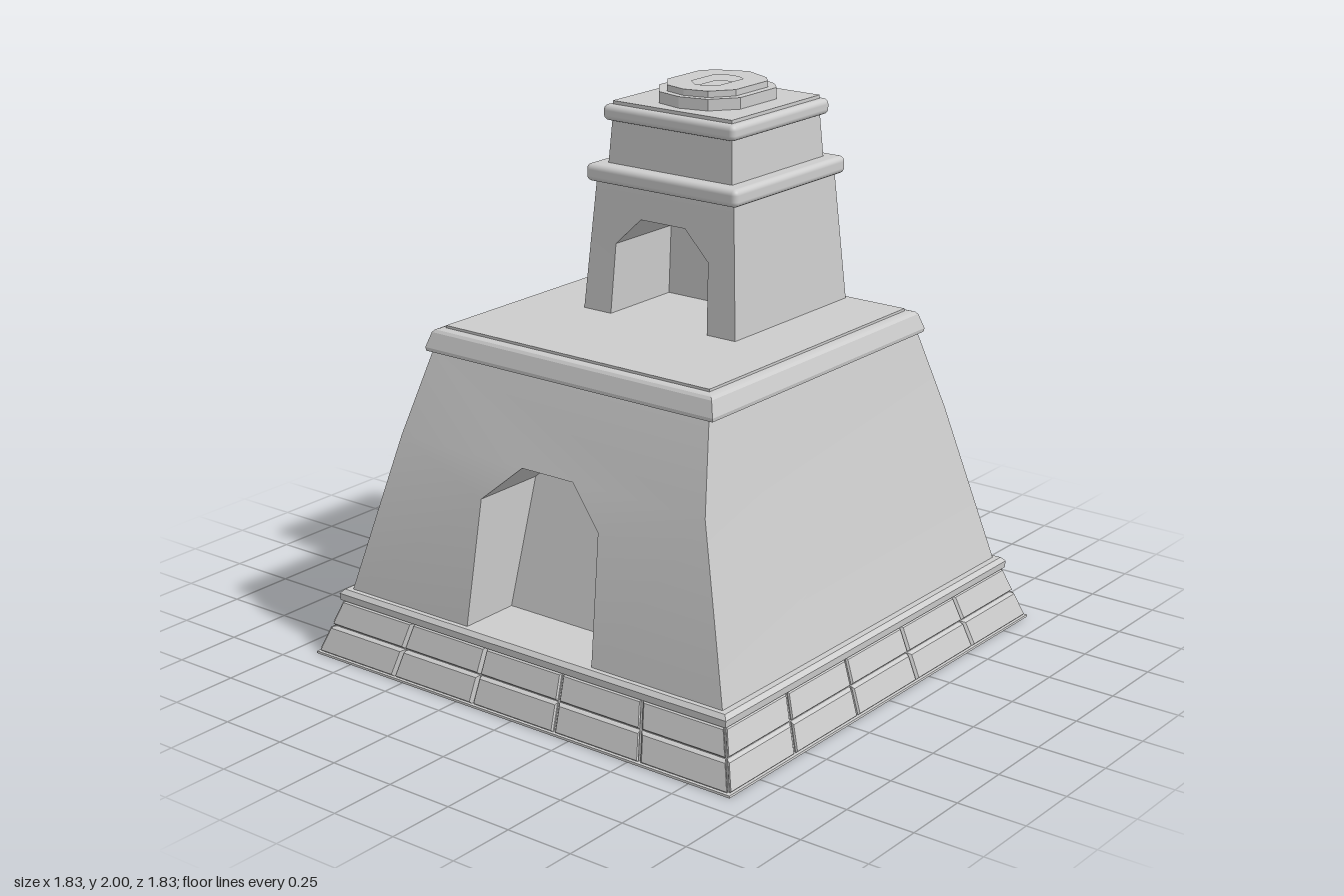
import * as THREE from 'three';
import { toCreasedNormals } from 'three/addons/utils/BufferGeometryUtils.js';
import { RoundedBoxGeometry } from 'three/addons/geometries/RoundedBoxGeometry.js';

const stone = new THREE.MeshStandardMaterial({ color: 0xcccccc });
stone.name = 'stone';

const TOWER_Z = -0.22;

function add(parent, name, geometry, y = 0, z = 0) {
  const mesh = new THREE.Mesh(geometry, stone);
  mesh.name = name;
  mesh.position.set(0, y, z);
  parent.add(mesh);
  return mesh;
}

// Square solid lofted through [halfWidth, y] steps, capped at both ends
function squareLoft(steps) {
  const pts = [[0, steps[0][1]], ...steps, [0, steps[steps.length - 1][1]]]
    .map(([h, y]) => new THREE.Vector2(h * Math.SQRT2, y));
  return toCreasedNormals(new THREE.LatheGeometry(pts, 4, Math.PI / 4), 0.3);
}

// Four tapering walls with an arched recess in the front.
// levels: [halfX, frontZ, backZ, y] at the foot, at the arch top and at the wall top.
// arch: right half of the opening as [x, y, z], bottom to top. recessZ(y): rear of the recess.
function archedWalls(levels, arch, recessZ) {
  const pos = [];
  const face = (...p) => {
    for (let i = 1; i < p.length - 1; i++) pos.push(...p[0], ...p[i], ...p[i + 1]);
  };
  const rings = levels.map(([hx, zf, zb, y]) =>
    [[-hx, y, zf], [hx, y, zf], [hx, y, zb], [-hx, y, zb]]);
  const [lo, mid, top] = rings;

  // Plain walls: right, back, left
  for (let k = 0; k < 2; k++) {
    for (let i = 1; i < 4; i++) {
      const j = (i + 1) % 4;
      face(rings[k][i], rings[k][j], rings[k + 1][j], rings[k + 1][i]);
    }
  }

  // Front wall around the opening
  const f = [...arch.map(([x, y, z]) => [-x, y, z]), ...[...arch].reverse()];
  face(lo[0], f[0], f[1], mid[0]);
  face(mid[0], f[1], f[2]);
  face(f[5], lo[1], mid[1], f[4]);
  face(f[4], mid[1], f[3]);
  face(top[0], mid[0], f[2], f[3], mid[1], top[1]);

  // Recess walls and rear
  const b = f.map(([x, y]) => [x, y, recessZ(y)]);
  for (let i = 0; i < 5; i++) face(f[i], b[i], b[i + 1], f[i + 1]);
  face(...[...b].reverse());

  const geo = new THREE.BufferGeometry();
  geo.setAttribute('position', new THREE.Float32BufferAttribute(pos, 3));
  return toCreasedNormals(geo, 0.4);
}

// Chamfered plinth block following the batter of the base; u is the fraction along the side
const batter = (y) => 0.915 - 0.35 * y;
function blockGeometry(u0, u1, y0, y1) {
  const geo = new THREE.BoxGeometry(1, 1, 1, 1, 1, 2);
  const p = geo.attributes.position;
  for (let i = 0; i < p.count; i++) {
    const d = p.getZ(i);
    const inset = d > 0.25 ? 0.006 : 0;
    const depth = d > 0.25 ? 0 : d > -0.25 ? 0.008 : 0.04;
    const y = p.getY(i) > 0 ? y1 - inset : y0 + inset;
    const u = p.getX(i) > 0 ? u1 - inset : u0 + inset;
    const z = batter(y) - depth;
    p.setXYZ(i, u * z, y, z);
  }
  const flat = geo.toNonIndexed();
  flat.computeVertexNormals();
  return flat;
}

// Flat slab cut from an [x, z] outline with an optional hole
function slab(outline, hole, height) {
  const toPoints = (list) => list.map(([x, z]) => new THREE.Vector2(x, -z));
  const shape = new THREE.Shape(toPoints(outline));
  shape.holes.push(new THREE.Path(toPoints(hole)));
  const geo = new THREE.ExtrudeGeometry(shape, { depth: height, bevelEnabled: false });
  return geo.rotateX(-Math.PI / 2);
}

function createModel() {
  const model = new THREE.Group();
  model.name = 'steppedTower';

  // Plinth: core, two courses of blocks on each side, ledge
  const plinth = new THREE.Group();
  plinth.name = 'plinth';
  model.add(plinth);
  add(plinth, 'plinthCore', squareLoft([[0.915, 0], [0.914, 0.008], [0.897, 0.009], [0.828, 0.205]]));
  add(plinth, 'plinthLedge', squareLoft([[0.85, 0.2], [0.852, 0.225], [0.838, 0.24]]));
  const courses = [[0.009, 0.102], [0.108, 0.197]];
  for (let side = 0; side < 4; side++) {
    for (const [y0, y1] of courses) {
      for (let i = 0; i < 5; i++) {
        const u = -1 + i * 0.4;
        add(plinth, 'plinthBlock', blockGeometry(u + 0.005, u + 0.395, y0, y1))
          .rotation.y = side * Math.PI / 2;
      }
    }
  }

  // Lower storey with its doorway
  add(model, 'lowerWalls', archedWalls(
    [[0.815, 0.82, -0.82, 0.24], [0.66, 0.71, -0.705, 0.82], [0.595, 0.605, -0.605, 1.12]],
    [[0.275, 0.24, 0.82], [0.255, 0.69, 0.755], [0.11, 0.82, 0.708]],
    (y) => 0.59 - 0.26 * (y - 0.24)));

  // Terrace
  add(model, 'terraceRim', squareLoft(
    [[0.605, 1.107], [0.618, 1.112], [0.62, 1.125], [0.603, 1.178], [0.595, 1.187], [0.582, 1.191]]));
  add(model, 'terraceFloor', squareLoft([[0.568, 1.17], [0.568, 1.2]]));

  // Upper storey with its doorway
  const tower = new THREE.Group();
  tower.name = 'tower';
  tower.position.z = TOWER_Z;
  model.add(tower);
  add(tower, 'towerWalls', archedWalls(
    [[0.33, 0.33, -0.33, 1.2], [0.304, 0.304, -0.304, 1.55], [0.295, 0.295, -0.295, 1.67]],
    [[0.21, 1.2, 0.33], [0.2, 1.45, 0.311], [0.095, 1.55, 0.304]],
    () => 0));
  add(tower, 'lowerMoulding', new RoundedBoxGeometry(0.65, 0.062, 0.65, 3, 0.02), 1.689);
  add(tower, 'towerNeck', squareLoft([[0.268, 1.7], [0.255, 1.89]]));
  add(tower, 'upperMoulding', new RoundedBoxGeometry(0.565, 0.056, 0.565, 3, 0.02), 1.898);
  add(tower, 'towerRoof', squareLoft([[0.255, 1.9], [0.255, 1.938]]));

  // Roof finial: two stacked rounded slabs around a central opening
  const half = [[0, -0.215], [0.13, -0.16], [0.175, -0.11], [0.175, 0.1], [0.105, 0.19], [0, 0.215]];
  const mirror = (list) => [...list, ...list.slice(1, -1).reverse().map(([x, z]) => [-x, z])];
  const outline = mirror(half);
  const opening = [[-0.03, -0.09], [0.03, -0.09], [0.06, -0.07], [0.06, 0.065],
    [0.02, 0.1], [-0.02, 0.1], [-0.06, 0.065], [-0.06, -0.07]];
  add(tower, 'finialBase', slab(outline, opening, 0.042), 1.936);
  add(tower, 'finialTop', slab(outline.map(([x, z]) => [x * 0.84, z * 0.88]), opening, 0.024), 1.976);

  return model;
}

export { createModel };
